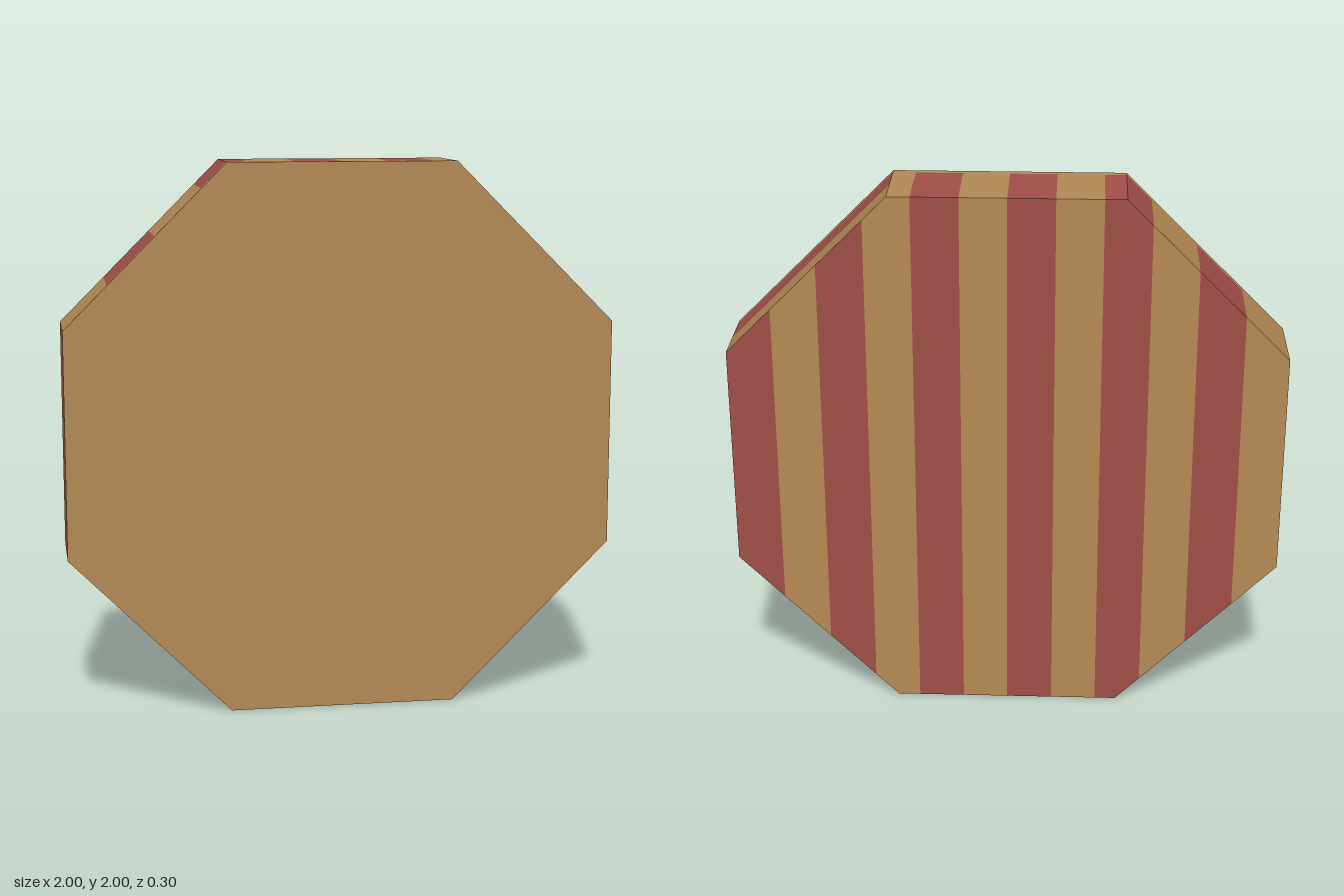
import * as THREE from 'three';

const DEPTH = 0.15; // half thickness
const S = Math.SQRT2 - 1; // half length of one octagon side
const BAND = [-0.015, 0.125]; // lengthwise band across the rim, in z

// Octagon corners, counter-clockwise from the front, starting at the right side
const CORNERS = [[1, -S], [1, S], [S, 1], [-S, 1], [-1, S], [-1, -S], [-S, -1], [S, -1]]
  .map(([x, y]) => new THREE.Vector2(x, y + 1));

// Vertical stripes, in x
const STRIPES = [];
for (let k = 0; k < 6; k++) {
  const x = -0.84 + k * 0.335;
  STRIPES.push([x, Math.min(x + 0.168, 1)]);
}
const inStripe = (x) => STRIPES.some(([a, b]) => x > a && x < b);

// All x cuts between two limits, limits included
function cutsBetween(lo, hi, extra = []) {
  const inner = [...STRIPES.flat(), ...extra].filter((x) => x > lo + 1e-4 && x < hi - 1e-4);
  return [lo, ...inner.sort((a, b) => a - b), hi];
}

// Half height of the octagon at x
const halfHeight = (x) => Math.min(1, 1 + S - Math.abs(x));

function meshFrom(name, positions, material) {
  const geometry = new THREE.BufferGeometry();
  geometry.setAttribute('position', new THREE.Float32BufferAttribute(positions, 3));
  geometry.computeVertexNormals();
  const mesh = new THREE.Mesh(geometry, material);
  mesh.name = name;
  return mesh;
}

// Adds a quad whose corners run counter-clockwise seen from outside
function quad(list, a, b, c, d) {
  for (const p of [a, b, c, a, c, d]) list.push(...p);
}

export function createModel() {
  const tan = new THREE.MeshStandardMaterial({ color: 0xb48a55 });
  tan.name = 'tan';
  const red = new THREE.MeshStandardMaterial({ color: 0xa24f48 });
  red.name = 'brick red';

  const group = new THREE.Group();
  group.name = 'octagonalPanel';

  // Plain front face
  const front = new THREE.Mesh(new THREE.ShapeGeometry(new THREE.Shape(CORNERS)), tan);
  front.position.z = DEPTH;
  front.name = 'frontFace';
  group.add(front);

  // Striped back face, cut into upright slices
  const back = { tan: [], red: [] };
  const backCuts = cutsBetween(-1, 1, [-S, S]);
  for (let i = 0; i + 1 < backCuts.length; i++) {
    const [x0, x1] = [backCuts[i], backCuts[i + 1]];
    const [h0, h1] = [halfHeight(x0), halfHeight(x1)];
    quad(inStripe((x0 + x1) / 2) ? back.red : back.tan,
      [x1, 1 - h1, -DEPTH], [x0, 1 - h0, -DEPTH], [x0, 1 + h0, -DEPTH], [x1, 1 + h1, -DEPTH]);
  }
  group.add(meshFrom('backFace', back.tan, tan), meshFrom('backStripes', back.red, red));

  // Rim: some sides carry one lengthwise band, the others carry cross stripes
  const rim = { tan: [], red: [] };
  const strip = (list, p, q, z0, z1) => quad(list,
    [p.x, p.y, z1], [p.x, p.y, z0], [q.x, q.y, z0], [q.x, q.y, z1]);
  const lengthwise = [0, 1, 4, 5];
  CORNERS.forEach((p, side) => {
    const q = CORNERS[(side + 1) % 8];
    strip(rim.tan, p, q, BAND[1], DEPTH);
    if (lengthwise.includes(side)) {
      strip(rim.red, p, q, BAND[0], BAND[1]);
      strip(rim.tan, p, q, -DEPTH, BAND[0]);
      return;
    }
    const cuts = cutsBetween(Math.min(p.x, q.x), Math.max(p.x, q.x));
    if (p.x > q.x) cuts.reverse();
    const at = (x) => p.clone().lerp(q, (x - p.x) / (q.x - p.x));
    for (let i = 0; i + 1 < cuts.length; i++) {
      const list = inStripe((cuts[i] + cuts[i + 1]) / 2) ? rim.red : rim.tan;
      strip(list, at(cuts[i]), at(cuts[i + 1]), -DEPTH, BAND[1]);
    }
  });
  group.add(meshFrom('rim', rim.tan, tan), meshFrom('rimStripes', rim.red, red));

  return group;
}
